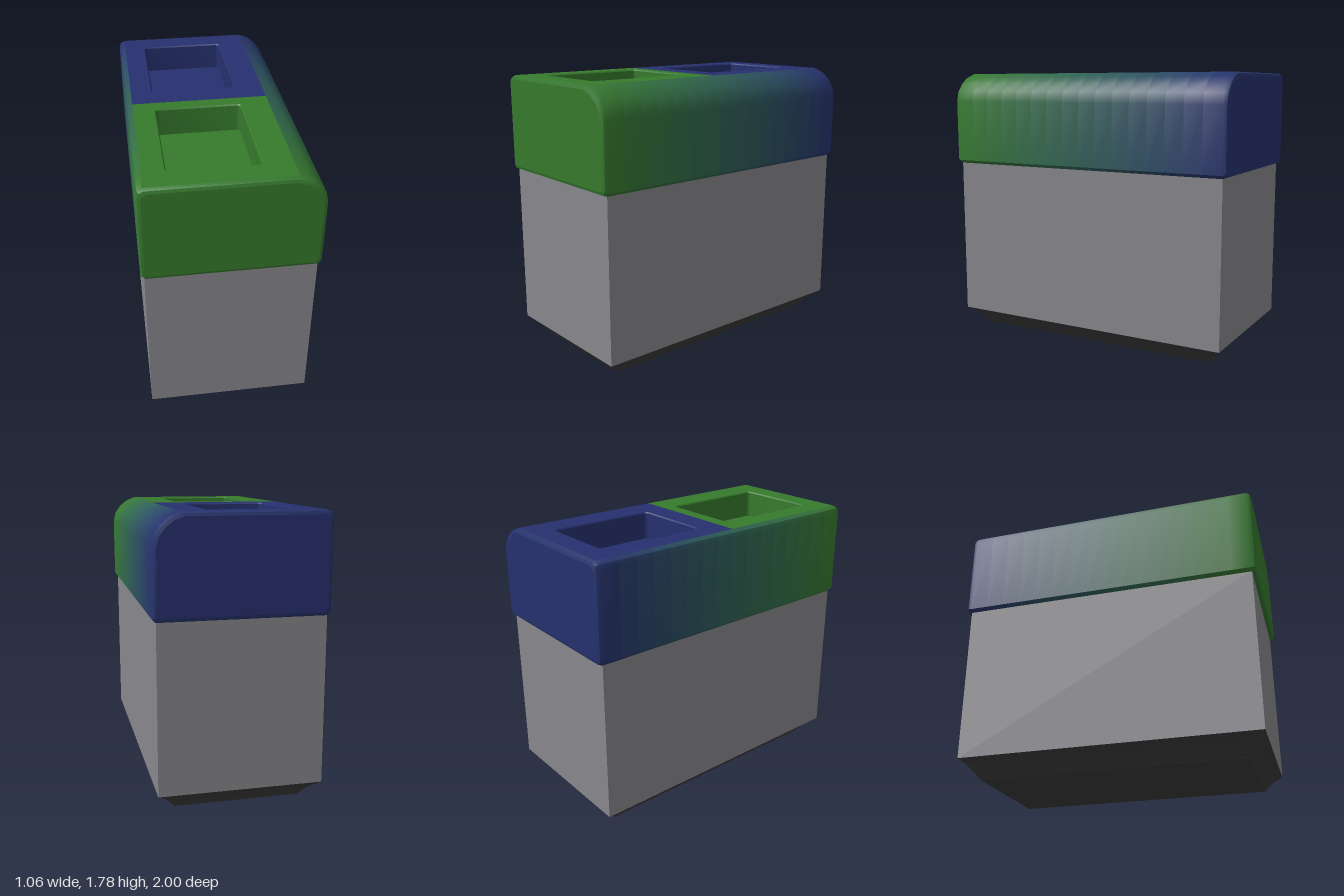
import * as THREE from 'three';
import { toCreasedNormals } from 'three/addons/utils/BufferGeometryUtils.js';

const GREEN = new THREE.Color(0x367a2c), BLUE = new THREE.Color(0x26306e);
const GREY = new THREE.Color(0x88878c), DARK = new THREE.Color(0x3a3a3a);
const TOP = 1.785, SPLIT = 0.03, END = 0.97;

// Lid cross-section, anticlockwise seen from the front: one wide rounded edge on +x
const PROFILE = [
  [-0.51, 1.17], [0.51, 1.17], [0.53, 1.19], [0.53, 1.6], [0.515, 1.665], [0.475, 1.72],
  [0.425, 1.76], [0.36, TOP], [-0.49, TOP], [-0.52, 1.77], [-0.53, 1.74], [-0.53, 1.19],
];
const FLAT_TOP = 7; // index of the edge that the top plates replace

function mesh(name, geometry, color) {
  const m = new THREE.Mesh(geometry, new THREE.MeshStandardMaterial({ color }));
  m.name = name;
  return m;
}

// Joins closed rings of [x, y, z] points; rings listed from high z to low z face outward
function loft(rings, skips = () => false) {
  const pos = [], n = rings[0].length;
  for (let r = 0; r < rings.length - 1; r++) {
    for (let i = 0; i < n; i++) {
      if (skips(r, i)) continue;
      const j = (i + 1) % n, a = rings[r], b = rings[r + 1];
      pos.push(...a[i], ...b[i], ...b[j], ...a[i], ...b[j], ...a[j]);
    }
  }
  const g = new THREE.BufferGeometry();
  g.setAttribute('position', new THREE.Float32BufferAttribute(pos, 3));
  g.computeVertexNormals();
  return toCreasedNormals(g, 0.6);
}

// Rounded rectangle as a list of points
function roundedRect(x0, x1, y0, y1, r) {
  const pts = [];
  const corners = [[x1 - r, y1 - r], [x0 + r, y1 - r], [x0 + r, y0 + r], [x1 - r, y0 + r]];
  corners.forEach(([cx, cy], k) => {
    for (let s = 0; s <= 3; s++) {
      const t = (k + s / 3) * Math.PI / 2;
      pts.push([cx + r * Math.cos(t), cy + r * Math.sin(t)]);
    }
  });
  return pts;
}

const toVectors = (pts) => pts.map(([x, y]) => new THREE.Vector2(x, y));
const atDepth = (pts, z) => pts.map(([x, y]) => [x, y, z]);
const inset = (d) => PROFILE.map(([x, y]) => [x * (1 - d / 0.53), 1.4775 + (y - 1.4775) * (1 - d / 0.3075)]);

// Outer shell of the lid, in slices that fade from green at the front to blue at the back
function lidShell() {
  const g = new THREE.Group(), count = 16;
  g.name = 'lidShell';
  const bevel = [[0.025, 1], [0.008, 0.993], [0, END]];
  for (let s = 0; s < count; s++) {
    const z = (k) => END - 2 * END * k / count;
    const rows = [[0, z(s)], [0, z(s + 1)]];
    if (s === 0) rows.unshift(...bevel.slice(0, 2));
    if (s === count - 1) rows.push([0.008, -0.993], [0.025, -1]);
    const rings = rows.map(([d, zz]) => atDepth(inset(d), zz));
    const skips = (r, i) => i === FLAT_TOP && Math.abs(rows[r][1]) < END + 0.001 && Math.abs(rows[r + 1][1]) < END + 0.001;
    g.add(mesh('lidSlice', loft(rings, skips), GREEN.clone().lerp(BLUE, (s + 0.5) / count)));
  }
  // End faces
  const cap = () => new THREE.ShapeGeometry(new THREE.Shape(toVectors(inset(0.025))));
  const front = mesh('lidFront', cap().translate(0, 0, 1), GREEN);
  const back = mesh('lidBack', cap().scale(-1, 1, 1).rotateY(Math.PI).scale(1, 1, 1), BLUE);
  // Rotate rather than mirror so that the back face keeps its winding
  back.geometry = new THREE.ShapeGeometry(new THREE.Shape(toVectors(inset(0.025).map(([x, y]) => [-x, y]))));
  back.geometry.rotateY(Math.PI).translate(0, 0, -1);
  g.add(front, back);
  return g;
}

// Top plate with a sunken rectangular well; local y points to the back, local z points up
function wellPanel(name, z0, z1, wz0, wz1, color) {
  const g = new THREE.Group();
  g.name = name;
  g.rotation.x = -Math.PI / 2;
  const rim = roundedRect(-0.357, 0.187, -wz1 - 0.007, -wz0 + 0.007, 0.03);
  const wall = roundedRect(-0.35, 0.18, -wz1, -wz0, 0.023);
  const plate = new THREE.Shape(toVectors([[-0.49, -z1], [0.36, -z1], [0.36, -z0], [-0.49, -z0]]));
  plate.holes.push(new THREE.Path(toVectors(rim)));
  const floorY = TOP - 0.18;
  g.add(
    mesh('topPlate', new THREE.ShapeGeometry(plate).translate(0, 0, TOP), color),
    mesh('wellWall', loft([atDepth(wall, floorY), atDepth(wall, TOP - 0.008), atDepth(rim, TOP)]), color),
    mesh('wellFloor', new THREE.ShapeGeometry(new THREE.Shape(toVectors(wall))).translate(0, 0, floorY), color),
  );
  return g;
}

// Dark plinth that curves inward to the ground
function plinth() {
  const g = new THREE.Group();
  g.name = 'base';
  const rect = (d) => [[-0.51 + d, -0.97 + d], [0.508 - d, -0.97 + d], [0.508 - d, 0.97 - d], [-0.51 + d, 0.97 - d]];
  const steps = [[0, 0.12], [0.045, 0.085], [0.078, 0.05], [0.115, 0]];
  const sides = mesh('baseSides', loft(steps.map(([d, y]) => atDepth(rect(d), y))), DARK);
  sides.rotation.x = -Math.PI / 2;
  const bottom = mesh('baseBottom', new THREE.PlaneGeometry(0.788, 1.71), DARK);
  bottom.rotation.x = Math.PI / 2;
  g.add(sides, bottom);
  return g;
}

export function createModel() {
  const model = new THREE.Group();
  model.name = 'twinBin';

  const body = mesh('body', new THREE.BoxGeometry(1.018, 1.06, 1.94), GREY);
  body.position.set(-0.001, 0.65, 0);

  model.add(
    plinth(),
    body,
    lidShell(),
    wellPanel('frontWell', SPLIT, END, 0.12, 0.825, GREEN),
    wellPanel('backWell', -END, SPLIT, -0.825, -0.125, BLUE),
  );
  return model;
}
